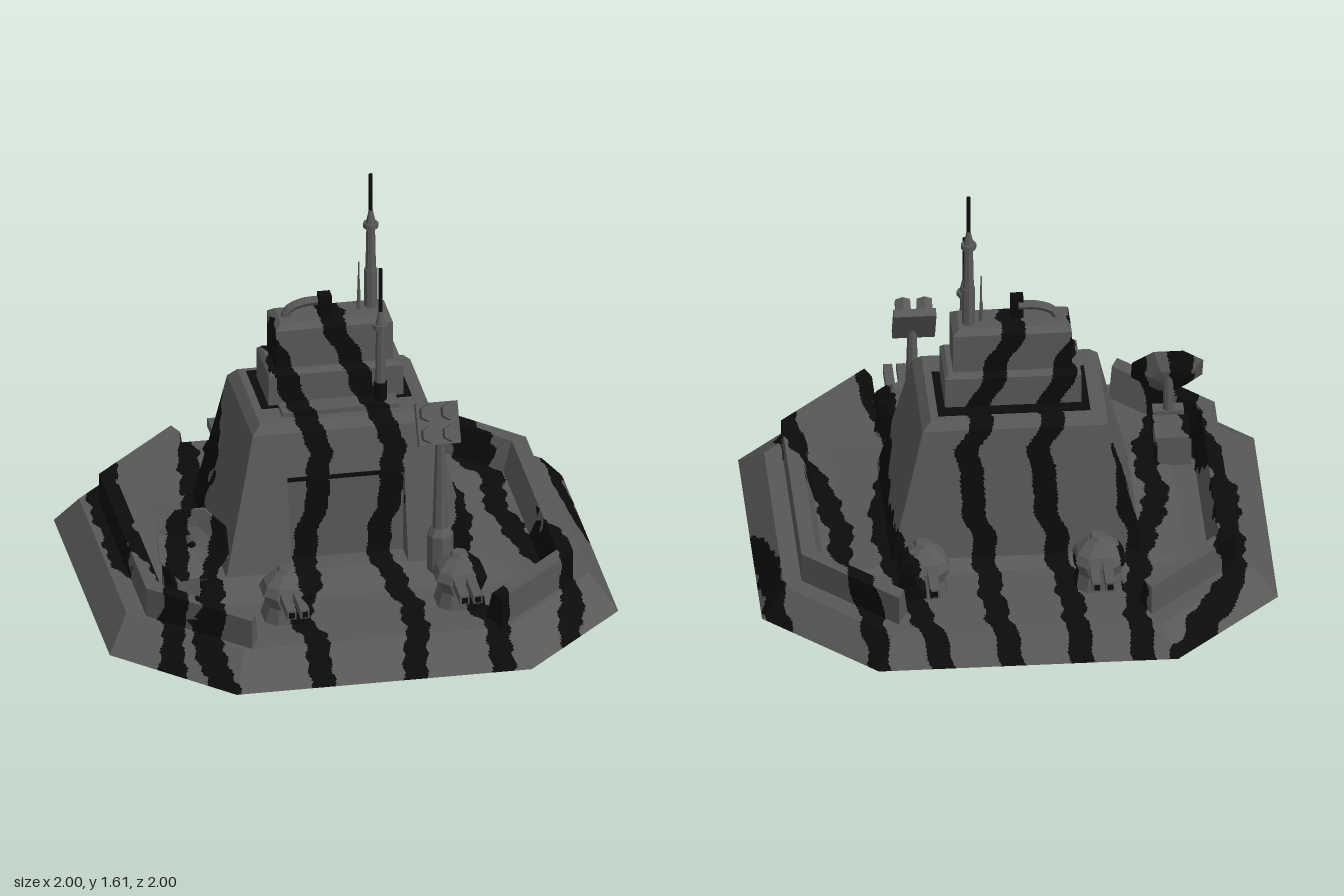
import * as THREE from 'three';

const grey = new THREE.MeshStandardMaterial({ color: 0x585858 });
grey.name = 'armour grey';
const black = new THREE.MeshStandardMaterial({ color: 0x0b0b0b });
black.name = 'camouflage black';

// Camouflage: each row is the x of one stripe, sampled from z = -1 to z = 1
const stripes = [
  [-0.6, -0.72, -0.84, -0.86, -0.85, -0.87, -0.81, -0.77, -0.77, -0.79, -0.8],
  [-0.46, -0.45, -0.47, -0.5, -0.55, -0.6, -0.57, -0.58, -0.65, -0.66, -0.6],
  [-0.22, -0.21, -0.2, -0.18, -0.17, -0.18, -0.18, -0.2, -0.28, -0.25, -0.23],
  [0.05, 0.09, 0.1, 0.1, 0.1, 0.1, 0.11, 0.14, 0.17, 0.15, 0.13],
  [0.32, 0.38, 0.42, 0.46, 0.48, 0.47, 0.42, 0.38, 0.4, 0.46, 0.48],
  [0.57, 0.57, 0.6, 0.68, 0.64, 0.67, 0.7, 0.77, 0.8, 0.77, 0.76],
  [1, 0.95, 0.94, 0.94, 0.96, 1.03, 1.2, 1.2, 1.2, 1.2, 1.2],
];
const shiftByHeight = [0, 0.03, 0.07, 0.08, 0, -0.1, -0.1, -0.1, -0.1];

function sample(list, t) {
  const c = Math.min(Math.max(t, 0), list.length - 1.001);
  const i = Math.floor(c);
  return list[i] + (list[i + 1] - list[i]) * (c - i);
}
function isBlack(p) {
  const shift = sample(shiftByHeight, p.y * 5);
  const wobble = 0.008 * Math.sin(p.z * 31 + p.y * 23) + 0.005 * Math.sin(p.z * 67 - p.y * 51);
  return stripes.some((s) => Math.abs(p.x - sample(s, (p.z + 1) * 5) - shift - wobble) < 0.046);
}

// Splits faces along the stripe borders and sorts them into two material groups
function camouflage(geometry) {
  const pos = (geometry.index ? geometry.toNonIndexed() : geometry).attributes.position;
  const faces = [[], []];
  const split = (a, b, c) => {
    const ab = a.distanceTo(b), bc = b.distanceTo(c), ca = c.distanceTo(a);
    const longest = Math.max(ab, bc, ca);
    const mixed = new Set([a, b, c].map(isBlack)).size > 1;
    if (longest < (mixed ? 0.014 : 0.07)) {
      const mid = a.clone().add(b).add(c).divideScalar(3);
      const list = faces[isBlack(mid) ? 1 : 0];
      for (const p of [a, b, c]) list.push(p.x, p.y, p.z);
    } else if (longest === ab) {
      const m = a.clone().lerp(b, 0.5); split(a, m, c); split(m, b, c);
    } else if (longest === bc) {
      const m = b.clone().lerp(c, 0.5); split(a, b, m); split(a, m, c);
    } else {
      const m = c.clone().lerp(a, 0.5); split(a, b, m); split(m, b, c);
    }
  };
  for (let i = 0; i < pos.count; i += 3) {
    split(...[0, 1, 2].map((k) => new THREE.Vector3().fromBufferAttribute(pos, i + k)));
  }
  const out = new THREE.BufferGeometry();
  out.setAttribute('position', new THREE.Float32BufferAttribute(faces[0].concat(faces[1]), 3));
  out.addGroup(0, faces[0].length / 3, 0);
  out.addGroup(faces[0].length / 3, faces[1].length / 3, 1);
  out.computeVertexNormals();
  return out;
}

// Joins equal-length rings of points into a capped, flat-shaded solid
function loft(rings) {
  const v = [];
  const tri = (...points) => {
    const [a, b, c] = points.map((p) => new THREE.Vector3(...p));
    if (b.sub(a).cross(c.sub(a)).length() > 1e-7) v.push(...points.flat());
  };
  const n = rings[0].length, top = rings[rings.length - 1], low = rings[0];
  for (let r = 0; r + 1 < rings.length; r++) {
    for (let i = 0; i < n; i++) {
      const j = (i + 1) % n, a = rings[r], b = rings[r + 1];
      tri(a[i], a[j], b[j]);
      tri(a[i], b[j], b[i]);
    }
  }
  for (let i = 1; i + 1 < n; i++) {
    tri(top[0], top[i], top[i + 1]);
    tri(low[0], low[i + 1], low[i]);
  }
  const g = new THREE.BufferGeometry();
  g.setAttribute('position', new THREE.Float32BufferAttribute(v, 3));
  return g;
}
const rect = (y, x, zb, zf) => [[-x, y, zf], [x, y, zf], [x, y, zb], [-x, y, zb]];
const octagon = (y, x, zb, zf, c) => [
  [-x + c, y, zf], [x - c, y, zf], [x, y, zf - c], [x, y, zb + c],
  [x - c, y, zb], [-x + c, y, zb], [-x, y, zb + c], [-x, y, zf - c],
];
const box = (x, y, z, w, h, d) => new THREE.BoxGeometry(w, h, d).translate(x, y, z);
const tube = (x, y0, y1, z, r0, r1 = r0, sides = 8) =>
  new THREE.CylinderGeometry(r1, r0, y1 - y0, sides).translate(x, (y0 + y1) / 2, z);

export function createModel() {
  const model = new THREE.Group();
  const add = (name, geometry, material, parent = model) => {
    let g = geometry;
    if (material) {
      g = g.index ? g.toNonIndexed() : g;
      g.computeVertexNormals();
    } else g = camouflage(g);
    const mesh = new THREE.Mesh(g, material || [grey, black]);
    mesh.name = name;
    parent.add(mesh);
  };

  // Eight-sided platform and low apron around the tower
  add('basePlatform', loft([octagon(0, 1, -1, 1, 0.42), octagon(0.11, 0.91, -0.92, 0.84, 0.39)]));
  add('towerApron', loft([rect(0.109, 0.66, -0.48, 0.47), rect(0.14, 0.49, -0.42, 0.28)]));

  // Parapets along both sides, mirrored
  const parapetRing = (pick) => [[0.84, 0.23], [0.84, 0.1], [0.74, 0.1], [0.78, 0.23]].map(([d, y]) => {
    const c = 0.49 - 0.414 * (0.84 - d);
    const [x, z] = pick(d, c);
    return [x, y, z];
  });
  const parapet = [(d, c) => [c, d], (d, c) => [d, c], (d, c) => [d, -c], (d, c) => [c, -d]].map(parapetRing);
  add('leftParapet', loft(parapet));
  add('rightParapet', loft(parapet.map((ring) => ring.map(([x, y, z]) => [-x, y, z]).reverse())));

  // Sloping tower with a recessed front panel
  const towerRing = (y, x, zb, zf, zr = zf) => [
    [-x, y, zf], [-0.23, y, zf], [-0.23, y, zr], [0.23, y, zr], [0.23, y, zf], [x, y, zf], [x, y, zb], [-x, y, zb],
  ];
  add('tower', loft([
    towerRing(0.1, 0.495, -0.425, 0.295, 0.175), towerRing(0.5, 0.4, -0.38, 0.207, 0.175),
    towerRing(0.5, 0.4, -0.38, 0.207), towerRing(0.68, 0.36, -0.36, 0.168), towerRing(0.715, 0.325, -0.335, 0.14),
  ]));
  add('panelLintel', box(0, 0.498, 0.208, 0.46, 0.016, 0.009), black);
  add('roofWell', box(0, 0.717, -0.145, 0.59, 0.006, 0.32), black);

  // Stepped command block on the roof
  add('lowerBlock', loft([rect(0.715, 0.265, -0.25, 0), rect(0.845, 0.265, -0.25, 0), rect(0.86, 0.25, -0.235, -0.015)]));
  add('upperBlock', loft([
    rect(0.855, 0.23, -0.22, -0.035), rect(1.02, 0.23, -0.22, -0.035), rect(1.04, 0.205, -0.195, -0.06),
  ]));
  add('roofStep', box(0, 0.725, 0.055, 0.46, 0.02, 0.09));
  const pipePath = new THREE.CatmullRomCurve3([
    [-0.18, 1.03, -0.125], [-0.165, 1.065, -0.125], [-0.11, 1.09, -0.125], [-0.03, 1.095, -0.125],
  ].map((p) => new THREE.Vector3(...p)));
  add('roofPipe', new THREE.TubeGeometry(pipePath, 8, 0.018, 6), grey);
  add('pipeHousing', box(-0.025, 1.085, -0.11, 0.05, 0.09, 0.045), black);

  // Antenna masts
  const mast = (name, z, y0, y1, y2, y3, foot) => {
    add(name + 'Foot', tube(0.165, y0, y1, z, 0.026), foot);
    add(name + 'Column', tube(0.165, y1, y2, z, 0.021, 0.017), grey);
    add(name + 'Collar', tube(0.165, y2 - 0.005, y2 + 0.015, z, 0.03), grey);
    add(name + 'Taper', tube(0.165, y2 + 0.015, y2 + 0.07, z, 0.02, 0.008), grey);
    add(name + 'Rod', tube(0.165, y2 + 0.06, y3, z, 0.008), black);
  };
  mast('tallMast', -0.15, 1.03, 1.2, 1.385, 1.61, grey);
  mast('shortMast', 0.05, 0.71, 0.81, 1.045, 1.3, black);
  add('whipAntennaBase', tube(0.115, 1.03, 1.12, -0.135, 0.009, 0.007, 6), grey);
  add('whipAntenna', tube(0.115, 1.12, 1.24, -0.135, 0.005, 0.003, 6), grey);

  // Four-tube launcher on a pole
  add('launcherFoot', tube(0.345, 0.1, 0.28, 0.34, 0.052), grey);
  add('launcherShoulder', tube(0.345, 0.28, 0.31, 0.34, 0.052, 0.032), grey);
  add('launcherPole', tube(0.345, 0.31, 0.73, 0.34, 0.031, 0.017), grey);
  const aim = (g) => g.rotateX(-0.5).translate(0.338, 0.75, 0.325);
  add('launcherPlate', aim(new THREE.BoxGeometry(0.165, 0.165, 0.035)), grey);
  for (const x of [-0.042, 0.042]) {
    for (const y of [-0.042, 0.042]) {
      add('launchTube', aim(new THREE.CylinderGeometry(0.034, 0.034, 0.06, 6).rotateX(Math.PI / 2).translate(x, y, 0.045)), grey);
    }
  }

  // Dish on its pedestal
  add('dishPedestal', box(-0.66, 0.17, 0.33, 0.14, 0.13, 0.19));
  add('dishFoot', box(-0.655, 0.24, 0.43, 0.12, 0.025, 0.06), grey);
  add('dishMast', tube(-0.655, 0.22, 0.41, 0.42, 0.02), grey);
  // closed bowl: outer cone, rim, hollow inside
  const bowl = new THREE.LatheGeometry([
    [0, -0.07], [0.08, -0.05], [0.15, 0.005], [0.144, 0.008], [0.075, -0.03], [0, -0.045],
  ].map((p) => new THREE.Vector2(...p)), 8).rotateY(Math.PI / 8);
  const face = (g) => g.rotateX(Math.PI / 2 - 0.51).translate(-0.655, 0.395, 0.475);
  add('dishBowl', face(bowl));
  add('dishFeed', face(new THREE.CylinderGeometry(0.012, 0.012, 0.06, 6).translate(0, -0.015, 0)), black);

  // Four twin-barrel turrets facing front and back
  for (const x of [-0.305, 0.375]) {
    for (const dir of [1, -1]) {
      const turret = new THREE.Group();
      turret.name = dir > 0 ? 'frontTurret' : 'backTurret';
      model.add(turret);
      const place = (g) => g.rotateY(dir > 0 ? 0 : Math.PI).translate(x, 0, dir * 0.58);
      const ring = (y, w, zb, zf, c) => octagon(y, w, zb, zf, c);
      add('turretBase', place(loft([ring(0.105, 0.095, -0.085, 0.09, 0.04), ring(0.19, 0.07, -0.07, 0.08, 0.03)])), null, turret);
      add('turretBody', place(loft([
        ring(0.18, 0.075, -0.075, 0.1, 0.035), ring(0.225, 0.1, -0.09, 0.1, 0.045),
        ring(0.26, 0.085, -0.075, 0.085, 0.04), ring(0.3, 0.04, -0.05, 0.03, 0.025),
      ])), null, turret);
      add('turretHatch', place(tube(0, 0.295, 0.315, -0.01, 0.045, 0.03, 6)), grey, turret);
      for (const s of [-0.026, 0.026]) {
        add('gunBarrel', place(box(s, 0.235, 0.165, 0.036, 0.036, 0.17)), null, turret);
        add('gunMuzzle', place(box(s, 0.235, 0.253, 0.022, 0.022, 0.006)), black, turret);
      }
    }
  }
  return model;
}
